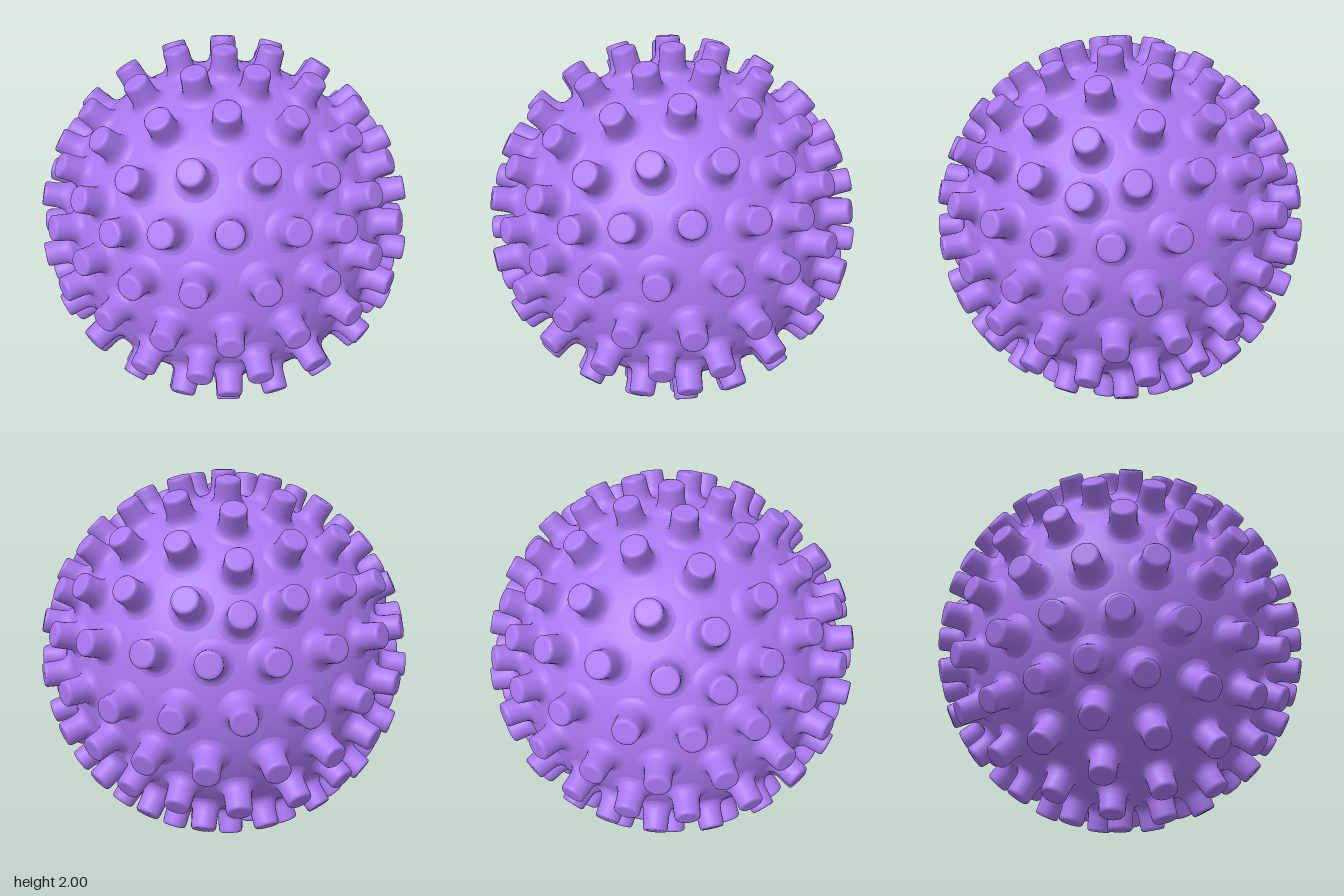
import * as THREE from 'three';
import { mergeVertices } from 'three/addons/utils/BufferGeometryUtils.js';

// Evenly spread directions: corners of a subdivided icosahedron with one corner on +y
function studDirections() {
  const ico = new THREE.IcosahedronGeometry(1, 3);
  ico.deleteAttribute('normal');
  ico.deleteAttribute('uv');
  ico.rotateZ(-Math.atan(2 / (1 + Math.sqrt(5))));
  const pos = mergeVertices(ico, 1e-3).attributes.position;
  return Array.from({ length: pos.count }, (_, i) =>
    new THREE.Vector3().fromBufferAttribute(pos, i).normalize());
}

export function createModel() {
  const model = new THREE.Group();
  model.name = 'studdedBall';
  const material = new THREE.MeshStandardMaterial({ color: 0xa878f0 });

  // Ball core
  const body = new THREE.Mesh(new THREE.SphereGeometry(0.872, 80, 56), material);
  body.name = 'body';
  body.position.y = 1;
  model.add(body);

  // Stud: filleted foot, straight shaft, softly rounded rim, flat tip
  const profile = [
    [0.112, 0.862], [0.09, 0.871], [0.077, 0.882], [0.069, 0.9], [0.066, 0.925],
    [0.064, 0.98], [0.0625, 0.992], [0.056, 0.999], [0.045, 1], [0, 1],
  ].map(([r, y]) => new THREE.Vector2(r, y));
  const studGeometry = new THREE.LatheGeometry(profile, 24);

  const studs = new THREE.Group();
  studs.name = 'studs';
  studs.position.y = 1;
  const up = new THREE.Vector3(0, 1, 0);
  for (const dir of studDirections()) {
    const stud = new THREE.Mesh(studGeometry, material);
    stud.name = 'stud';
    stud.quaternion.setFromUnitVectors(up, dir);
    studs.add(stud);
  }
  model.add(studs);
  return model;
}
